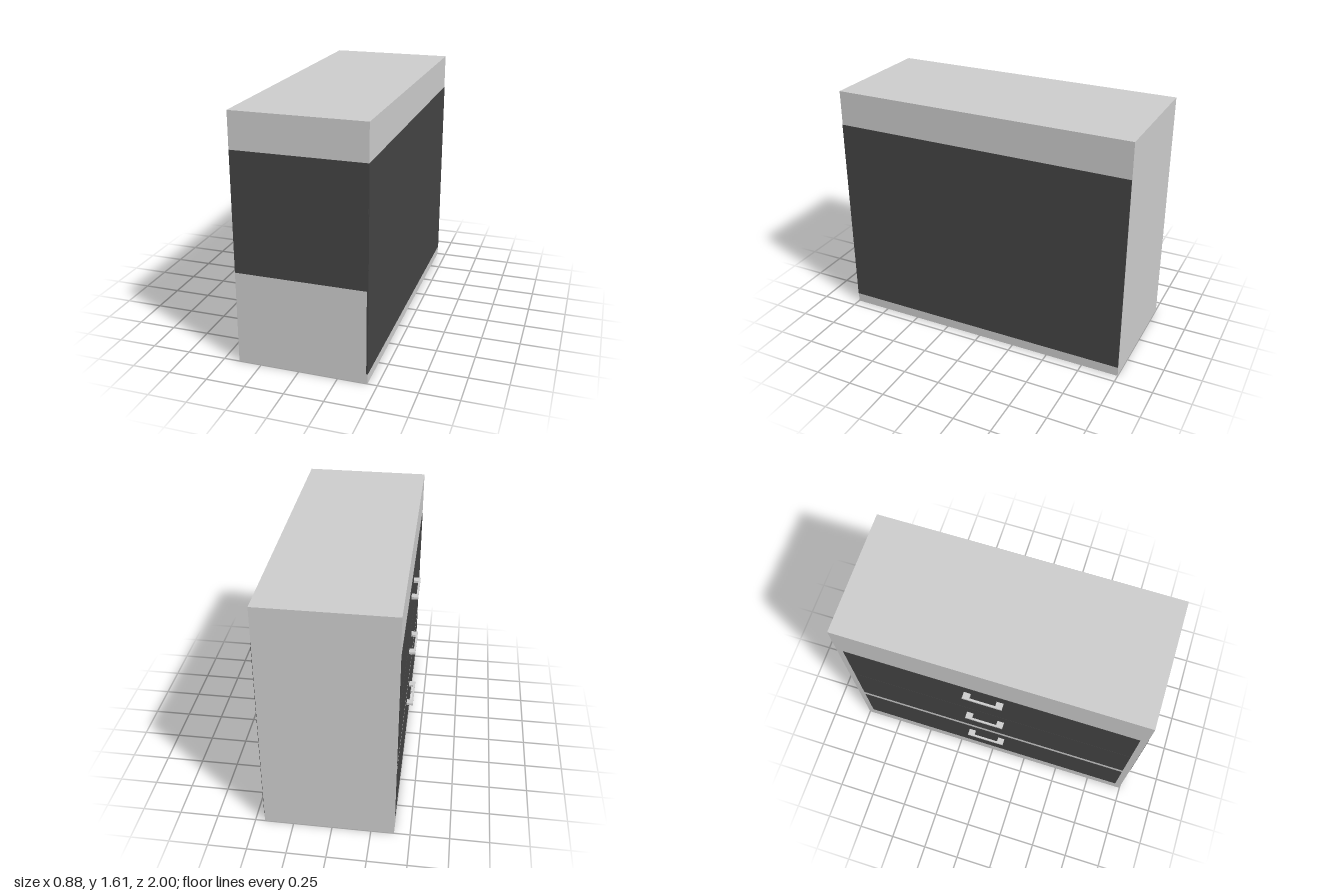
import * as THREE from 'three';

const grey = new THREE.MeshStandardMaterial({ color: 0xcccccc });
const dark = new THREE.MeshStandardMaterial({ color: 0x444444 });

// Box given by its minimum and maximum corners
function box(name, material, min, max) {
  const size = max.map((v, i) => v - min[i]);
  const mesh = new THREE.Mesh(new THREE.BoxGeometry(...size), material);
  mesh.position.set(...max.map((v, i) => (v + min[i]) / 2));
  mesh.name = name;
  return mesh;
}

// U-shaped pull: two posts joined by a thin bar
function makeHandle(y) {
  const u = new THREE.Shape([
    [-0.4, -0.165], [-0.4, -0.12], [-0.43, -0.12], [-0.43, 0.05],
    [-0.4, 0.05], [-0.4, 0.095], [-0.443, 0.095], [-0.443, -0.165],
  ].map(([x, z]) => new THREE.Vector2(x, -z)));
  const geometry = new THREE.ExtrudeGeometry(u, { depth: 0.016, bevelEnabled: false });
  geometry.rotateX(-Math.PI / 2);
  const mesh = new THREE.Mesh(geometry, grey);
  mesh.position.y = y - 0.008;
  mesh.name = 'handle';
  return mesh;
}

export function createModel() {
  const group = new THREE.Group();
  group.name = 'chestOfDrawers';
  const skin = 0.002; // slight relief of the dark panels

  // Carcass
  group.add(box('carcass', grey, [-0.398, 0, -1], [0.438, 1.612, 0.998]));

  // Dark cladding on the long plain side and on the end
  group.add(box('backPanel', dark, [0.43, 0.065, -0.999], [0.438 + skin, 1.38, 0.999]));
  group.add(box('endPanel', dark, [-0.397, 0.61, 0.99], [0.437, 1.38, 0.998 + skin]));

  // Drawer fronts with handles
  const drawers = [[0.106, 0.48, 0.393], [0.53, 0.92, 0.82], [0.96, 1.335, 1.244]];
  for (const [bottom, top, handleY] of drawers) {
    const drawer = new THREE.Group();
    drawer.name = 'drawer';
    drawer.add(box('drawerFront', dark, [-0.398 - skin, bottom, -0.955], [-0.38, top, 0.955]));
    drawer.add(makeHandle(handleY));
    group.add(drawer);
  }

  // Dark rail between the two upper drawers
  group.add(box('drawerRail', dark, [-0.399, 0.92, -0.955], [-0.38, 0.96, 0.955]));

  return group;
}
